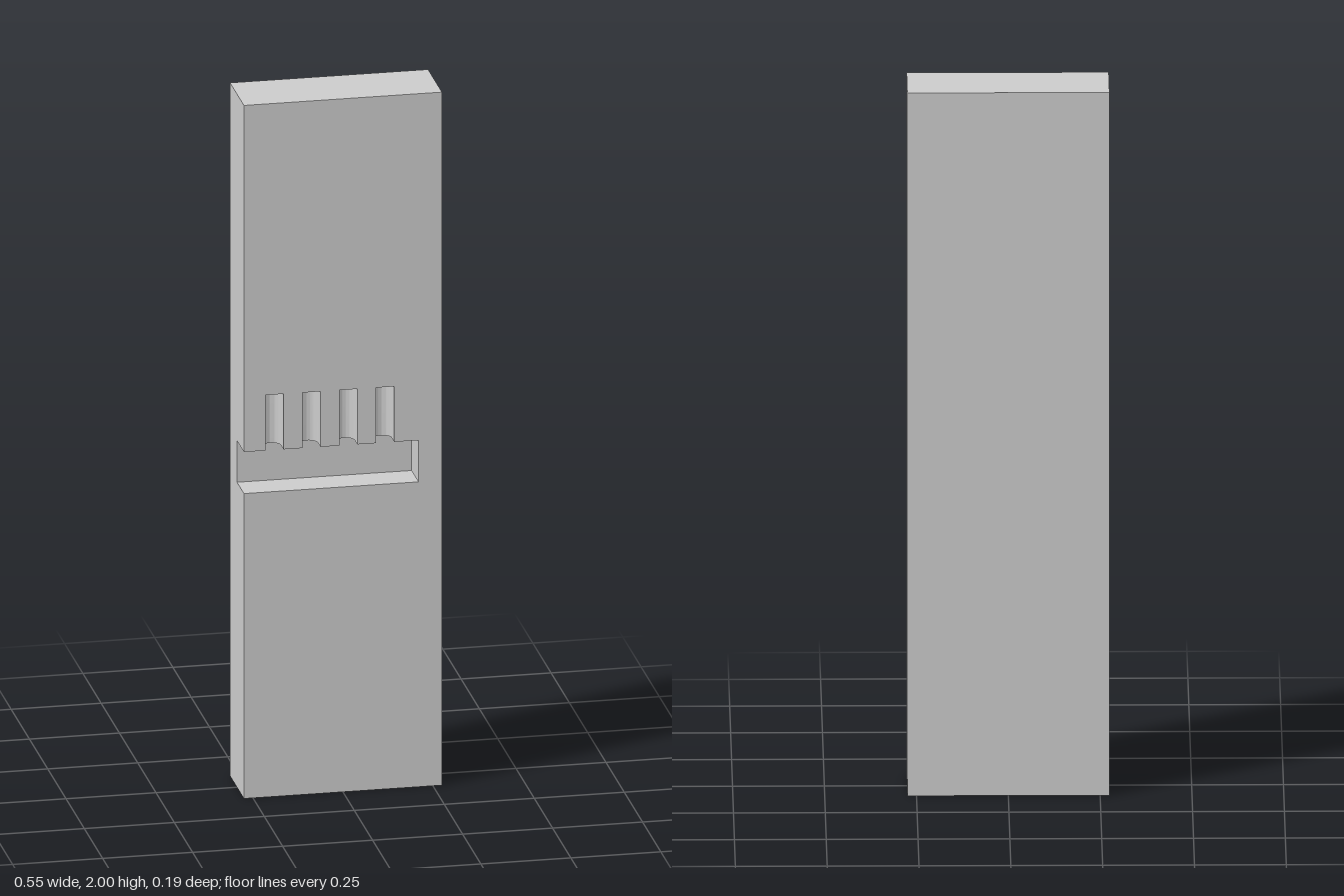
import * as THREE from 'three';
import { toCreasedNormals } from 'three/addons/utils/BufferGeometryUtils.js';

const W = 0.275, D = 0.095; // half width, half depth
const NOTCH_END = 0.21, NOTCH_DEPTH = 0.095;
const SLOT_R = 0.025, SLOT_WALL = 0.035;
const SLOTS = [0, 1, 2, 3].map(i => -0.19 + i * 0.1025);

export function createModel() {
  const group = new THREE.Group();
  const material = new THREE.MeshStandardMaterial({ color: 0xcccccc });

  // Horizontal slice of the slab; drawFront traces its front edge (shape y = -z)
  function addSlice(name, y0, y1, drawFront) {
    const shape = new THREE.Shape();
    shape.moveTo(-W, D);
    drawFront(shape);
    shape.lineTo(W, -D);
    shape.lineTo(W, D);
    shape.closePath();
    const geo = new THREE.ExtrudeGeometry(shape, { depth: y1 - y0, bevelEnabled: false, curveSegments: 12 });
    geo.rotateX(-Math.PI / 2);
    geo.translate(0, y0, 0);
    const mesh = new THREE.Mesh(toCreasedNormals(geo, 0.5), material);
    mesh.name = name;
    group.add(mesh);
  }

  const plainFront = s => s.lineTo(-W, -D);

  // Notch open to the -x side
  const notchFront = s => {
    s.lineTo(-W, -D + NOTCH_DEPTH);
    s.lineTo(NOTCH_END, -D + NOTCH_DEPTH);
    s.lineTo(NOTCH_END, -D);
  };

  // Four round-bottomed slots rising from the notch
  const slottedFront = s => {
    s.lineTo(-W, -D);
    for (const x of SLOTS) {
      s.lineTo(x - SLOT_R, -D);
      s.lineTo(x - SLOT_R, -D + SLOT_WALL);
      s.absarc(x, -D + SLOT_WALL, SLOT_R, Math.PI, 0, true);
      s.lineTo(x + SLOT_R, -D);
    }
  };

  addSlice('lowerSlab', 0, 0.88, plainFront);
  addSlice('notchedSection', 0.88, 1.0, notchFront);
  addSlice('slottedSection', 1.0, 1.16, slottedFront);
  addSlice('upperSlab', 1.16, 2, plainFront);
  return group;
}
